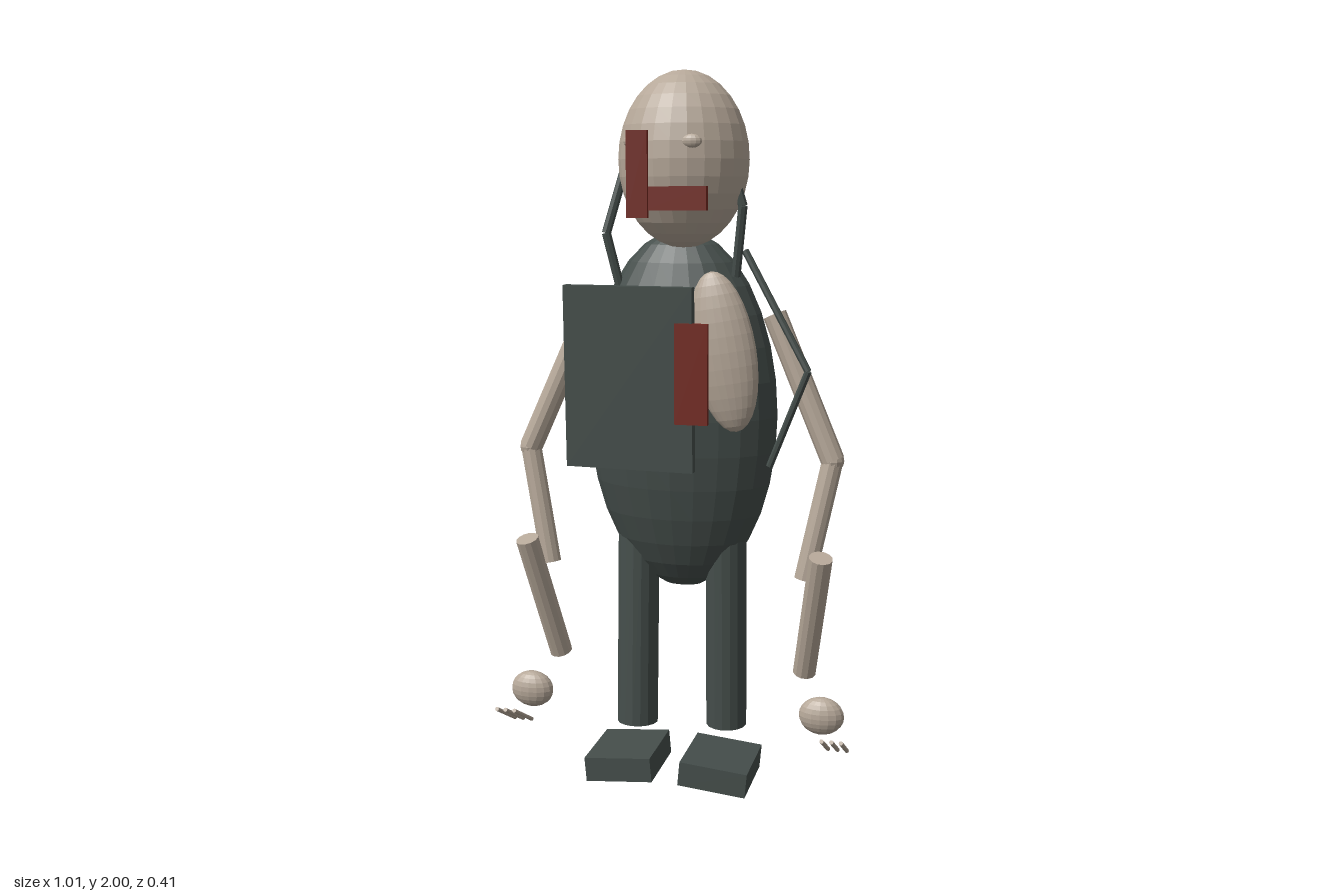
import * as THREE from 'three';

const material = (name, color) => {
  const m = new THREE.MeshStandardMaterial({ color, flatShading: true });
  m.name = name;
  return m;
};

export function createModel() {
  const skin = material('pale clay', 0xb6a899);
  const dark = material('dark slate', 0x454e4b);
  const red = material('dark red', 0x74281f);
  const model = new THREE.Group();
  model.name = 'figure';

  const add = (name, geometry, mat, position, rotation = [0, 0, 0]) => {
    const mesh = new THREE.Mesh(geometry, mat);
    mesh.name = name;
    mesh.position.set(...position);
    mesh.rotation.set(...rotation);
    model.add(mesh);
    return mesh;
  };
  const ellipsoid = (name, mat, radii, position, rotation, w = 24, h = 16) =>
    add(name, new THREE.SphereGeometry(1, w, h).scale(...radii), mat, position, rotation);
  const box = (name, mat, size, position, rotation) =>
    add(name, new THREE.BoxGeometry(...size), mat, position, rotation);

  // Straight round rod between two points
  const up = new THREE.Vector3(0, 1, 0);
  const rod = (name, mat, from, to, radius, sides = 12) => {
    const a = new THREE.Vector3(...from);
    const d = new THREE.Vector3(...to).sub(a);
    const mesh = add(name, new THREE.CylinderGeometry(radius, radius, d.length(), sides), mat,
      a.clone().addScaledVector(d, 0.5).toArray());
    mesh.quaternion.setFromUnitVectors(up, d.normalize());
  };
  const bentRod = (name, mat, points, radius, sides) => {
    for (let i = 1; i < points.length; i++) rod(name, mat, points[i - 1], points[i], radius, sides);
  };

  // Body and head
  ellipsoid('torso', dark, [0.275, 0.515, 0.16], [0, 1.06, -0.042], [0.03, 0, 0]);
  ellipsoid('head', skin, [0.18, 0.237, 0.155], [0.02, 1.763, 0.022]);
  for (const x of [-0.08, 0.077]) {
    ellipsoid('eye', skin, [0.028, 0.018, 0.012], [x, 1.807, 0.165], [0, 0, 0], 12, 8);
  }

  // Chest lobes
  ellipsoid('chestPatch', skin, [0.09, 0.22, 0.048], [0.15, 1.25, 0.095], [0, 0, 0.17]);
  ellipsoid('chestSpot', red, [0.075, 0.1, 0.04], [-0.125, 1.29, 0.11]);

  // Face marks
  box('faceMarkUpright', red, [0.056, 0.225, 0.018], [-0.064, 1.722, 0.19], [0, 0.08, 0]);
  box('faceMarkBar', red, [0.16, 0.062, 0.026], [0.04, 1.66, 0.172]);

  // Chest board with its tag
  box('chestBoard', dark, [0.363, 0.5, 0.026], [-0.095, 1.18, 0.172], [0.03, -0.05, 0]);
  box('boardTag', red, [0.09, 0.27, 0.015], [0.085, 1.2, 0.198]);

  // Straps beside the head and over the left shoulder
  bentRod('rightStrap', dark, [[-0.145, 1.76, 0.01], [-0.198, 1.565, 0.035], [-0.165, 1.42, 0.02]], 0.013, 8);
  bentRod('leftStrap', dark, [[0.16, 1.73, 0.04], [0.188, 1.64, 0.04], [0.165, 1.45, 0.015]], 0.013, 8);
  bentRod('shoulderStrap', dark, [[0.19, 1.52, 0.015], [0.375, 1.2, 0.06], [0.268, 0.93, 0.035]], 0.01, 8);

  for (const s of [1, -1]) {
    const side = s > 0 ? 'left' : 'right';

    // Arm in three pieces with a loose hand
    const elbow = [s * 0.44, 0.95, 0.012];
    rod(side + 'UpperArm', skin, [s * 0.268, 1.345, -0.018], elbow, 0.033);
    rod(side + 'MiddleArm', skin, elbow, [s * 0.373, 0.617, 0.045], 0.03);
    ellipsoid(side + 'Elbow', skin, [0.032, 0.032, 0.032], elbow, [0, 0, 0], 12, 8);
    rod(side + 'Forearm', skin, [s * 0.425, 0.695, 0.1], [s * 0.367, 0.325, -0.015], 0.033);
    ellipsoid(side + 'Palm', skin, [0.064, 0.054, 0.037], [s * 0.43, 0.23, 0.066], [0, 0, 0], 16, 12);
    for (const x of [0.447, 0.474, 0.5]) {
      rod(side + 'Finger', skin, [s * x, 0.2, 0.175], [s * x, 0.12, 0.035], 0.006, 8);
    }

    // Leg and foot, legs set in a slight stride
    rod(side + 'Leg', dark, [s * 0.13, 0.72, -0.042], [s * 0.13, 0.13, -0.038 - s * 0.022], 0.06, 16);
    box(side + 'Foot', dark, [0.195, 0.07, 0.22], [s * 0.138, 0.0475, 0.055], [0, 0, -s * 0.09]);
  }
  return model;
}
